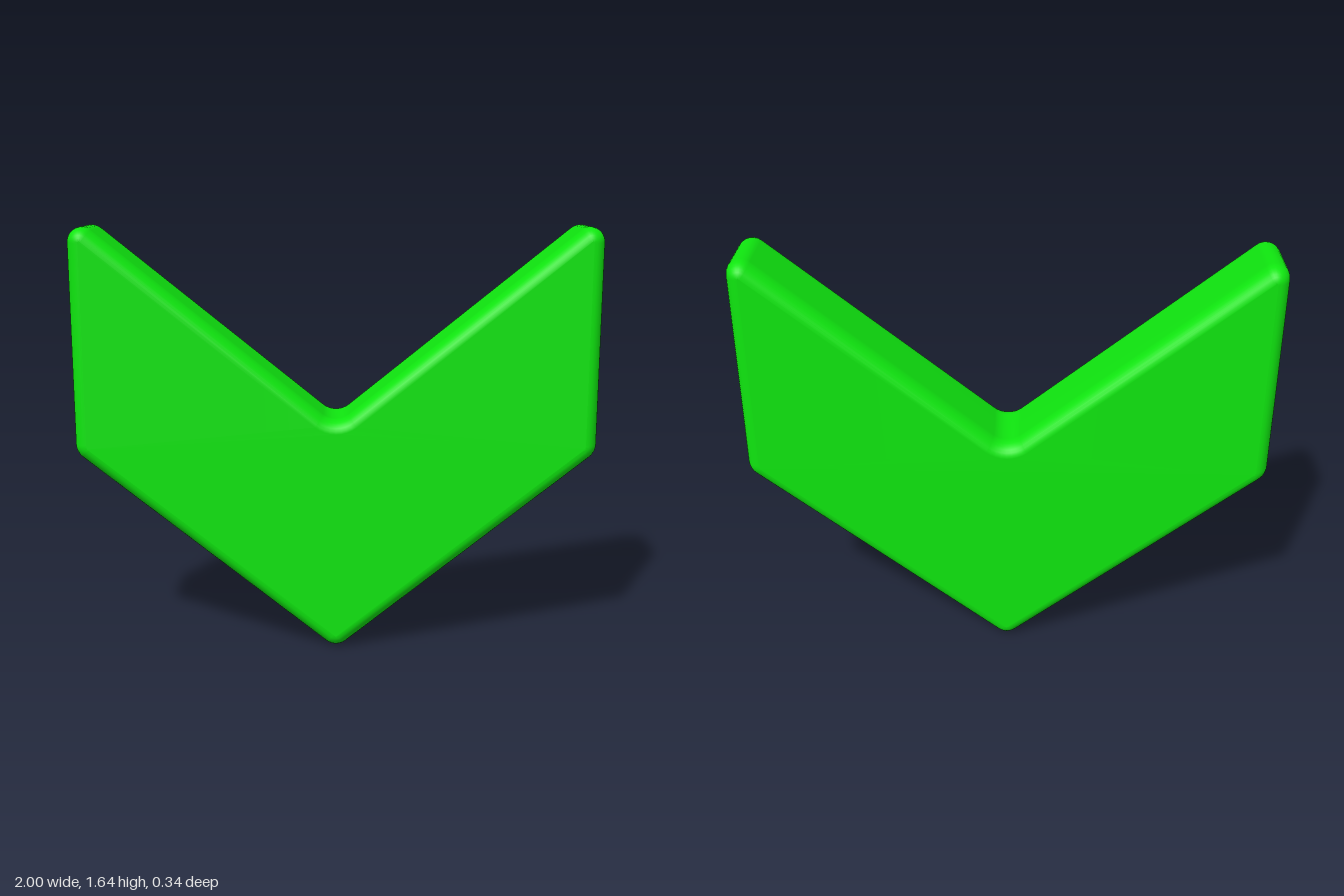
import * as THREE from 'three';
import { mergeVertices } from 'three/addons/utils/BufferGeometryUtils.js';

// Shape from a counter-clockwise polygon of [x, y, cornerRadius], each corner an arc.
function roundedShape(corners, steps = 8) {
  const pts = [];
  const count = corners.length;
  corners.forEach(([x, y, radius], i) => {
    const [px, py] = corners[(i + count - 1) % count];
    const [nx, ny] = corners[(i + 1) % count];
    const n1 = new THREE.Vector2(y - py, px - x).normalize();
    const n2 = new THREE.Vector2(ny - y, x - nx).normalize();
    const sweep = Math.atan2(n1.cross(n2), n1.dot(n2));
    const r = radius * Math.sign(sweep); // negative on the inner notch
    const centre = new THREE.Vector2(x, y).addScaledVector(n1.clone().add(n2), -r / (1 + n1.dot(n2)));
    const start = Math.atan2(n1.y, n1.x);
    for (let k = 0; k <= steps; k++) {
      const a = start + (sweep * k) / steps;
      pts.push(new THREE.Vector2(centre.x + r * Math.cos(a), centre.y + r * Math.sin(a)));
    }
  });
  return new THREE.Shape(pts);
}

export function createModel() {
  const group = new THREE.Group();
  group.name = 'chevronArrow';

  // Chevron outline: bottom tip, right end, notch, left end
  const shape = roundedShape([
    [0, -0.018, 0.065],
    [1, 0.782, 0.07],
    [1, 1.697, 0.055],
    [0, 0.888, 0.08],
    [-1, 1.697, 0.055],
    [-1, 0.782, 0.07],
  ]);

  // Thick plate with softly rounded rims
  const thickness = 0.33, rim = 0.07, inset = 0.05;
  const depth = thickness - 2 * rim;
  let geometry = new THREE.ExtrudeGeometry(shape, {
    depth,
    bevelThickness: rim,
    bevelSize: inset,
    bevelOffset: -inset,
    bevelSegments: 7,
  });
  geometry.translate(0, 0, -depth / 2);

  // Weld so the flat faces flow smoothly into the rims
  geometry.deleteAttribute('normal');
  geometry.deleteAttribute('uv');
  geometry = mergeVertices(geometry, 1e-4);
  geometry.computeVertexNormals();

  const plate = new THREE.Mesh(geometry, new THREE.MeshStandardMaterial({ color: 0x0fe60f }));
  plate.name = 'chevronPlate';
  plate.rotation.y = 0.006; // very slight turn
  group.add(plate);
  return group;
}
